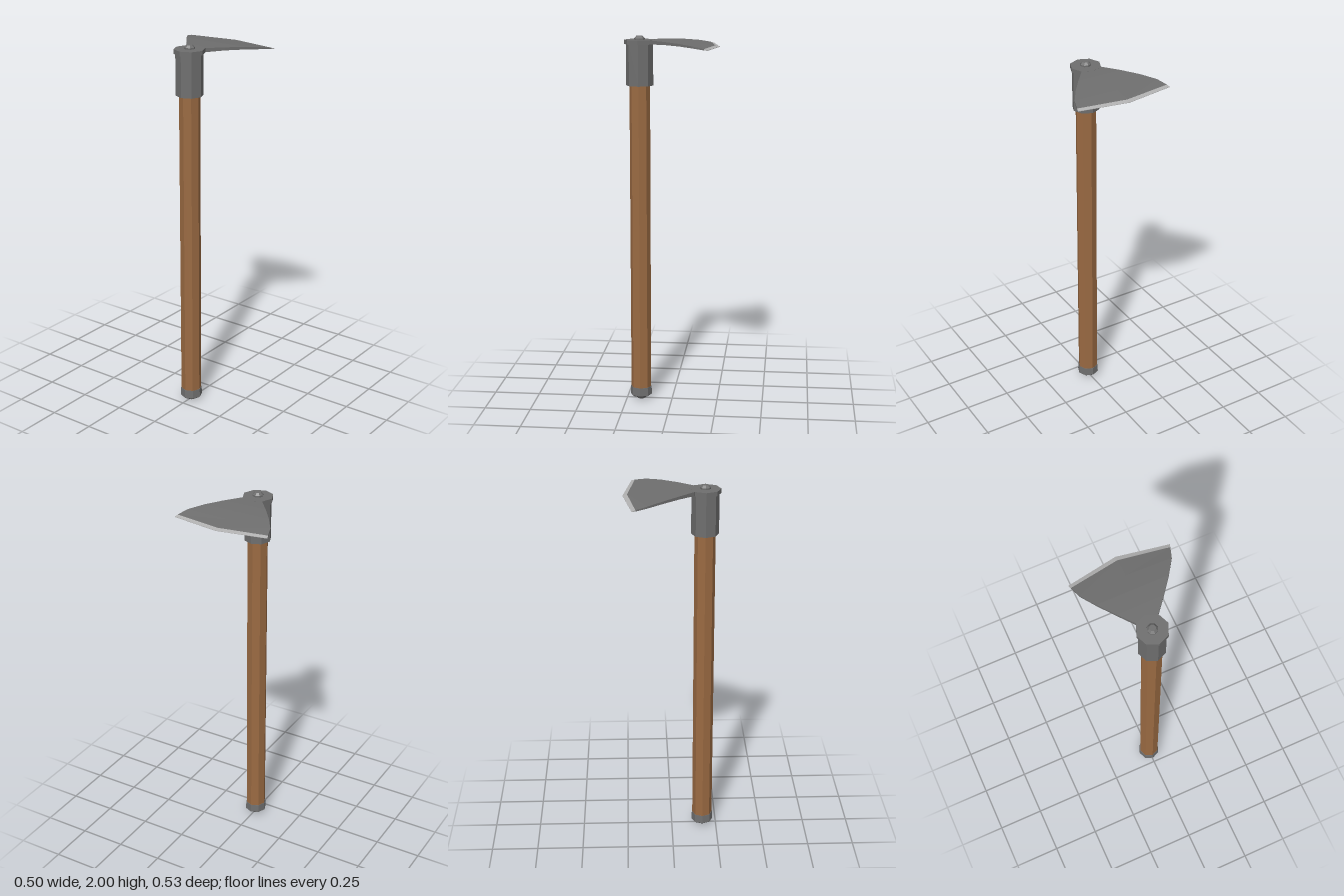
import * as THREE from 'three';

const AXIS_X = -0.172;

function material(color) {
  return new THREE.MeshStandardMaterial({ color, flatShading: true });
}

// Eight-sided turned part around the handle axis, profile listed from bottom to top
function turned(name, profile, mat) {
  const points = profile.map(([r, y]) => new THREE.Vector2(r, y));
  const mesh = new THREE.Mesh(new THREE.LatheGeometry(points, 8), mat);
  mesh.name = name;
  mesh.position.x = AXIS_X;
  return mesh;
}

// Closed loft through sections: [centre x, side x, half width, top y, bottom y]
function loft(name, sections, mat) {
  const positions = [];
  const index = [];
  for (const [cx, sx, w, top, bottom] of sections) {
    positions.push(sx, top, w, cx, top, 0, sx, top, -w);
    positions.push(sx, bottom, -w, cx, bottom, 0, sx, bottom, w);
  }
  for (let s = 0; s < sections.length - 1; s++) {
    for (let i = 0; i < 6; i++) {
      const a = s * 6 + i, b = s * 6 + (i + 1) % 6;
      index.push(a, a + 6, b, b, a + 6, b + 6);
    }
  }
  // End caps
  const e = (sections.length - 1) * 6;
  for (const [a, b, c, d] of [[0, 1, 4, 5], [1, 2, 3, 4]]) {
    index.push(a, b, c, a, c, d);
    index.push(e + a, e + c, e + b, e + a, e + d, e + c);
  }
  const geometry = new THREE.BufferGeometry();
  geometry.setAttribute('position', new THREE.Float32BufferAttribute(positions, 3));
  geometry.setIndex(index);
  const flat = geometry.toNonIndexed();
  flat.computeVertexNormals();
  const mesh = new THREE.Mesh(flat, mat);
  mesh.name = name;
  return mesh;
}

export function createModel() {
  const group = new THREE.Group();
  group.name = 'hoe';
  const wood = material(0x9a6a42);
  const iron = material(0x6e6e6e);
  const sharpened = material(0xb0b0b0);

  // Wooden shaft
  group.add(turned('handle', [[0, 0.05], [0.055, 0.05], [0.055, 1.76], [0, 1.76]], wood));

  // Flared cap at the foot of the shaft
  group.add(turned('endCap', [
    [0, 0], [0.022, 0], [0.032, 0.015], [0.05, 0.017], [0.06, 0.025], [0.057, 0.07], [0, 0.07],
  ], iron));

  // Socket with the collar that carries the blade
  group.add(turned('socket', [
    [0.055, 1.74], [0.072, 1.74], [0.072, 1.957], [0.081, 1.957], [0.081, 1.98], [0, 1.98],
  ], iron));

  // Rivet on top
  group.add(turned('rivet', [[0.028, 1.975], [0.028, 1.988], [0.017, 2], [0, 2]], iron));

  // Fan-shaped blade, bending down towards its edge
  const bevelStart = [0.227, 0.186, 0.258, 1.953, 1.946];
  group.add(loft('blade', [
    [-0.14, -0.114, 0.057, 1.98, 1.959],
    [-0.035, -0.035, 0.122, 1.978, 1.962],
    [0.05, 0.05, 0.187, 1.973, 1.96],
    [0.135, 0.127, 0.238, 1.964, 1.954],
    bevelStart,
  ], iron));

  // Bright sharpened strip
  group.add(loft('cuttingEdge', [bevelStart, [0.25, 0.204, 0.264, 1.947, 1.945]], sharpened));

  return group;
}
